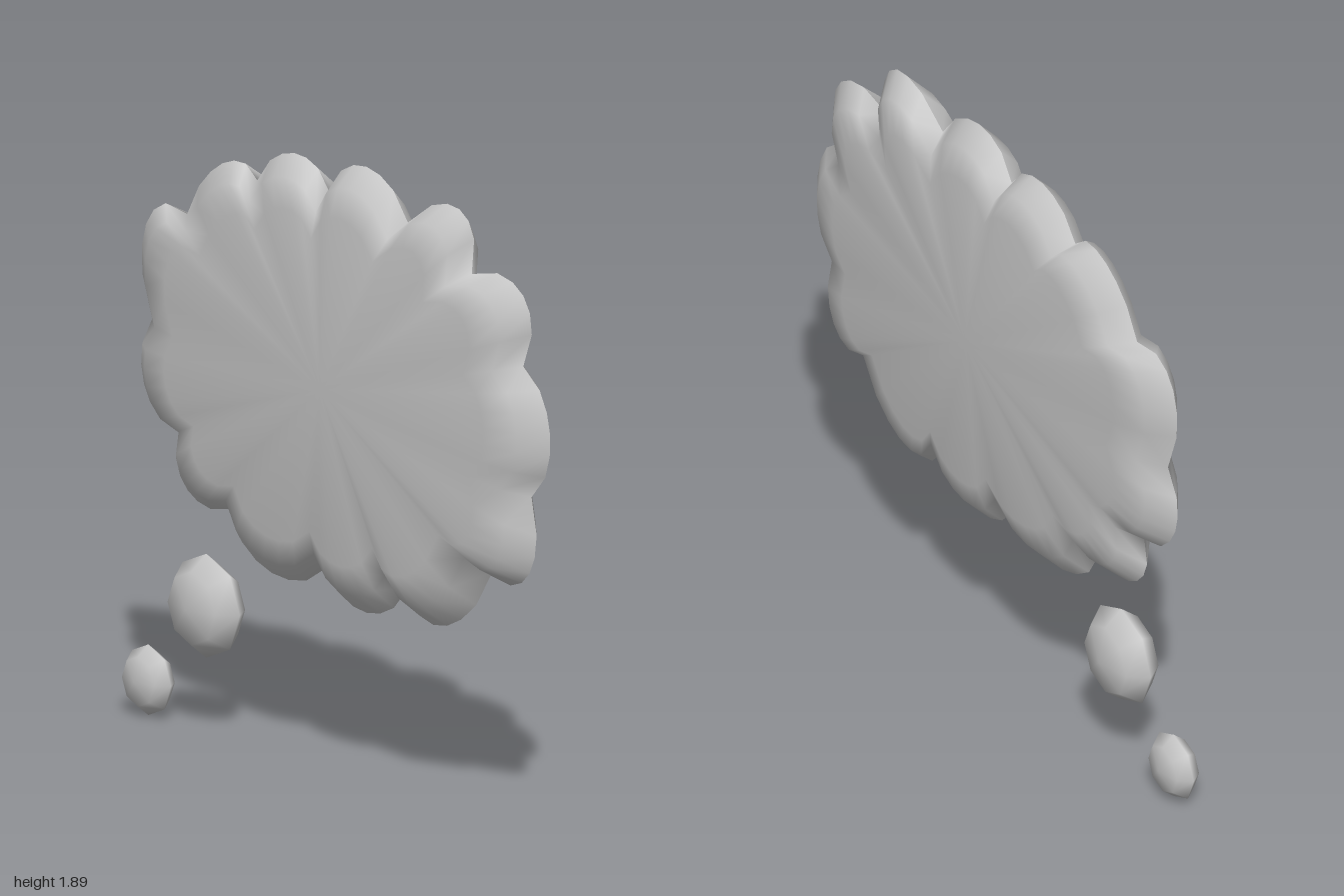
import * as THREE from 'three';

const material = new THREE.MeshStandardMaterial({ color: 0xcccccc });

// Cloud lobes, counter-clockwise: [valley x, valley y, crest x, crest y]
const lobes = [
  [0.91, 1.02, 1.0, 1.23], [0.87, 1.42, 0.87, 1.64], [0.62, 1.66, 0.56, 1.85],
  [0.31, 1.76, 0.11, 1.895], [-0.07, 1.78, -0.24, 1.87], [-0.42, 1.75, -0.59, 1.77],
  [-0.76, 1.58, -0.96, 1.51], [-0.93, 1.22, -0.97, 1.01], [-0.8, 0.89, -0.76, 0.72],
  [-0.55, 0.7, -0.35, 0.54], [-0.08, 0.61, 0.11, 0.505], [0.31, 0.62, 0.5, 0.54],
  [0.72, 0.75, 0.9, 0.78],
];
const STEPS = 6;
const CENTRE = [0.02, 1.2];

// Scalloped outline: each lobe bulges from the chord between two valleys
function cloudOutline() {
  const points = [];
  lobes.forEach(([x0, y0, cx, cy], i) => {
    const [x1, y1] = lobes[(i + 1) % lobes.length];
    for (let s = 0; s < STEPS; s++) {
      const t = s / STEPS;
      const bulge = Math.pow(1 - (2 * t - 1) ** 2, 0.7);
      points.push([
        x0 + (x1 - x0) * t + (cx - (x0 + x1) / 2) * bulge,
        y0 + (y1 - y0) * t + (cy - (y0 + y1) / 2) * bulge,
      ]);
    }
  });
  return points;
}

// One domed half of the cloud; side is +1 for front, -1 for back
function cloudHalf(outline, side) {
  const rings = [[0.78, 0.088], [0.91, 0.06], [1, 0]]; // [outline scale, depth]
  const n = outline.length;
  const positions = [CENTRE[0], CENTRE[1], 0.11 * side];
  const index = [];
  const tri = (a, b, c) => (side > 0 ? index.push(a, b, c) : index.push(a, c, b));

  rings.forEach(([scale, depth], r) => {
    outline.forEach(([x, y], i) => {
      positions.push(
        CENTRE[0] + (x - CENTRE[0]) * scale,
        CENTRE[1] + (y - CENTRE[1]) * scale,
        depth * side,
      );
      const a = 1 + r * n + i;
      const b = 1 + r * n + ((i + 1) % n);
      if (r === 0) tri(0, a, b);
      else {
        tri(a - n, a, b);
        tri(a - n, b, b - n);
      }
    });
  });

  const geometry = new THREE.BufferGeometry();
  geometry.setAttribute('position', new THREE.Float32BufferAttribute(positions, 3));
  geometry.setIndex(index);
  geometry.computeVertexNormals();
  const mesh = new THREE.Mesh(geometry, material);
  mesh.name = side > 0 ? 'cloudFront' : 'cloudBack';
  return mesh;
}

// Flattened eight-sided bubble with its poles facing front and back
function bubble(name, x, y, z, radius, depth) {
  const geometry = new THREE.SphereGeometry(1, 8, 4);
  geometry.rotateX(Math.PI / 2);
  geometry.scale(radius, radius, depth);
  const mesh = new THREE.Mesh(geometry, material);
  mesh.position.set(x, y, z);
  mesh.name = name;
  return mesh;
}

export function createModel() {
  const model = new THREE.Group();
  model.name = 'thoughtBubble';

  const cloud = new THREE.Group();
  cloud.name = 'cloud';
  const outline = cloudOutline();
  cloud.add(cloudHalf(outline, 1), cloudHalf(outline, -1));

  model.add(
    cloud,
    bubble('largeBubble', -0.64, 0.385, 0.022, 0.162, 0.083),
    bubble('smallBubble', -0.89, 0.11, 0.047, 0.11, 0.057),
  );
  return model;
}
